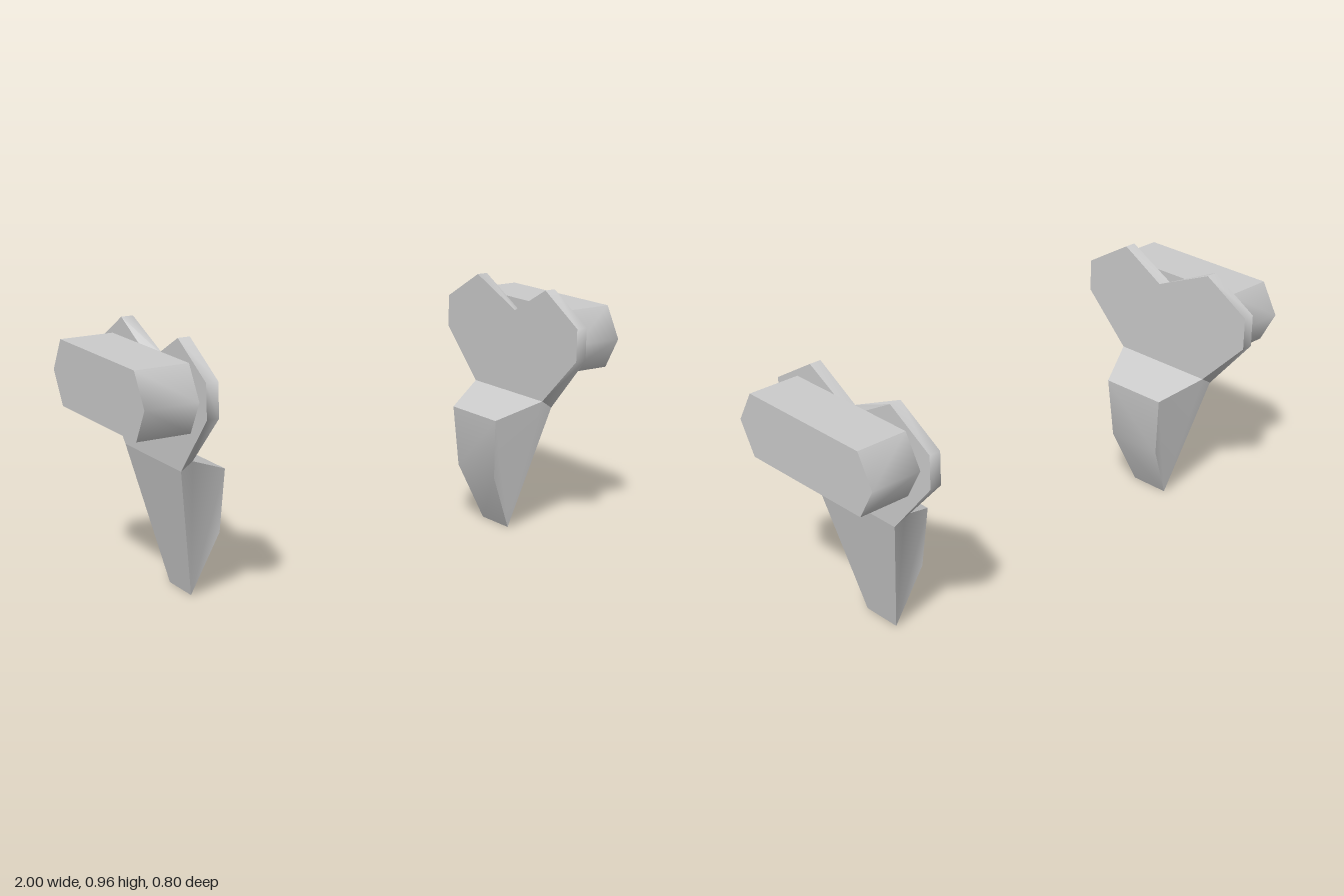
import * as THREE from 'three';
import { toCreasedNormals } from 'three/addons/utils/BufferGeometryUtils.js';

// Collects convex or star-shaped polygons (fanned from their first corner) into one mesh.
function polyMesh(name, polygons, side) {
  const pos = [];
  for (const p of polygons) {
    for (let i = 1; i < p.length - 1; i++) {
      // the mirrored side reverses the corner order
      const tri = side > 0 ? [p[0], p[i], p[i + 1]] : [p[0], p[i + 1], p[i]];
      for (const [x, y, z] of tri) pos.push(x * side, y, z);
    }
  }
  const geo = new THREE.BufferGeometry();
  geo.setAttribute('position', new THREE.Float32BufferAttribute(pos, 3));
  const mesh = new THREE.Mesh(
    toCreasedNormals(geo, 1.04),
    new THREE.MeshStandardMaterial({ color: 0xcccccc })
  );
  mesh.name = name;
  return mesh;
}

// Slab between an outer and an inner loop; one rim edge may be left open.
function slab(outer, inner, openEdge = -1) {
  const polys = [outer, [inner[0], ...inner.slice(1).reverse()]];
  outer.forEach((p, i) => {
    const j = (i + 1) % outer.length;
    if (i !== openEdge) polys.push([p, inner[i], inner[j], outer[j]]);
  });
  return polys;
}

// Full loop from a half outline of [y, z], mirrored in z and placed at x.
function loop(x, half) {
  const back = half.map(([y, z]) => [x, y, -z]).reverse();
  return [...half.map(([y, z]) => [x, y, z]), ...back];
}

// Two-lobed plate with a notch in the top edge
function plate() {
  const lobe = [[0.965, 0.21], [0.85, 0.4], [0.725, 0.4]];
  const outer = [[0.8, 0.85, 0], ...loop(0.8, [...lobe, [0.505, 0.21]])];
  const inner = [[0.755, 0.86, 0.03], ...loop(0.755, [...lobe, [0.535, 0.21]])];
  return slab(outer, inner, 4);
}

// Tapering fang below the plate: profile corners [x, y, half width]
function fang() {
  const profile = [[0.705, 0.005, 0.08], [0.8, 0.505, 0.21], [0.755, 0.535, 0.21],
    [0.59, 0.465, 0.135], [0.605, 0.23, 0.115]];
  const front = profile;
  const back = profile.map(([x, y, z]) => [x, y, -z]);
  const polys = [front, [back[0], ...back.slice(1).reverse()]];
  front.forEach((p, i) => {
    const j = (i + 1) % front.length;
    if (i !== 1) polys.push([p, back[i], back[j], front[j]]); // the plate closes edge 1
  });
  return polys;
}

// Long six-sided block on the outside of the plate
function block() {
  const half = [[0.895, 0.285], [0.775, 0.352], [0.655, 0.285]];
  return slab(loop(1, half), loop(0.8, half));
}

export function createModel() {
  const model = new THREE.Group();
  model.name = 'pairedFangs';
  for (const side of [1, -1]) {
    const half = new THREE.Group();
    half.name = side > 0 ? 'leftAssembly' : 'rightAssembly';
    half.add(
      polyMesh('lobedPlate', plate(), side),
      polyMesh('fang', fang(), side),
      polyMesh('outerBlock', block(), side)
    );
    model.add(half);
  }
  return model;
}
